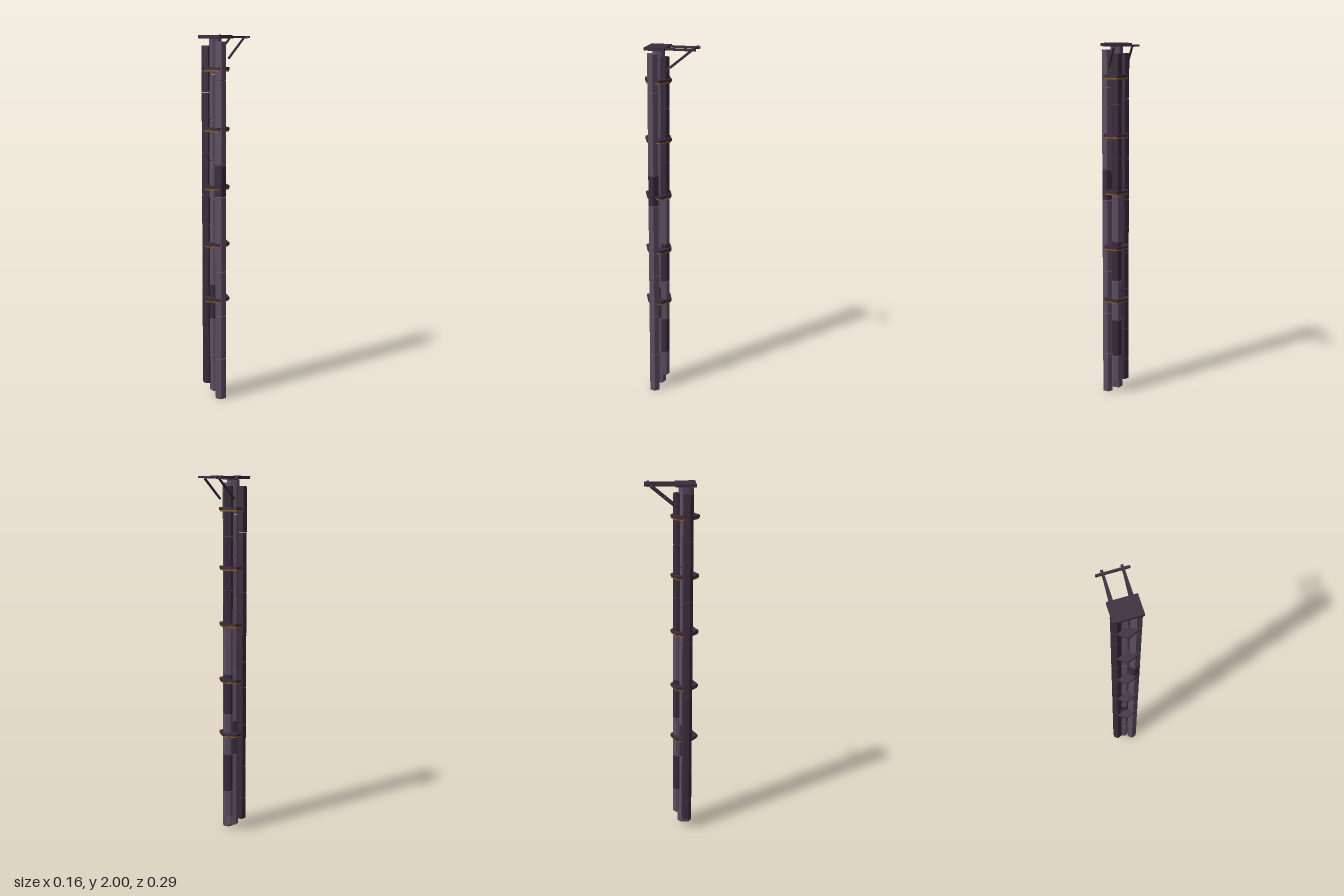
import * as THREE from 'three';

export function createModel() {
  const model = new THREE.Group();
  model.name = 'stoneColumnTower';

  const mat = (name, color) => {
    const m = new THREE.MeshStandardMaterial({ color, flatShading: true });
    m.name = name;
    return m;
  };
  const stone = mat('paleStone', 0x5e4f61);
  const darkStone = mat('darkStone', 0x3a2b3b);
  const wood = mat('darkTimber', 0x3c2b3c);
  const gold = mat('agedGold', 0x8e600f);

  const add = (parent, geometry, material, name, x, y, z) => {
    const mesh = new THREE.Mesh(geometry, material);
    mesh.name = name;
    mesh.position.set(x, y, z);
    parent.add(mesh);
    return mesh;
  };
  const rad = THREE.MathUtils.degToRad;

  // Four clustered six-sided columns, each cut into blocks at its joint heights
  const GAP = 0.004;
  const columns = [
    { name: 'leftColumn', x: 0.046, z: 0.083, r: 0.031, turn: 48, dark: [4],
      joints: [0, 0.237, 0.485, 0.735, 0.975, 1.15, 1.32, 1.52, 1.77, 1.97].filter((y) => y !== 0.975),
    },
    { name: 'rightColumn', x: -0.05, z: 0.08, r: 0.028, turn: -7, dark: 'all',
      joints: [0.07, 0.195, 0.385, 0.63, 0.845, 0.99, 1.15, 1.38, 1.705, 1.95] },
    { name: 'middleColumn', x: -0.004, z: 0.063, r: 0.033, turn: 12, dark: [2],
      joints: [0.03, 0.25, 0.455, 0.65, 0.94, 1.13, 1.34, 1.56, 1.8, 1.986] },
    { name: 'backColumn', x: 0.003, z: 0.032, r: 0.028, turn: 5, dark: [1, 3, 5, 6, 7],
      joints: [0.09, 0.237, 0.455, 0.69, 0.92, 1.18, 1.39, 1.68, 1.95] },
  ];
  for (const c of columns) {
    const column = new THREE.Group();
    column.name = c.name;
    for (let i = 0; i < c.joints.length - 1; i++) {
      const h = c.joints[i + 1] - c.joints[i] - GAP;
      const isDark = c.dark === 'all' || c.dark.includes(i);
      const block = add(column, new THREE.CylinderGeometry(c.r, c.r, h, 6),
        isDark ? darkStone : stone, 'columnBlock', c.x, c.joints[i] + h / 2, c.z);
      block.rotation.y = rad(c.turn);
    }
    model.add(column);
  }

  // Hexagonal collars with a gold ring below each
  for (const y of [0.575, 0.885, 1.2, 1.512, 1.828]) {
    const collar = new THREE.Group();
    collar.name = 'collar';
    add(collar, new THREE.CylinderGeometry(0.077, 0.077, 0.014, 6), wood, 'collarPlate', 0, 0, 0);
    add(collar, new THREE.CylinderGeometry(0.073, 0.073, 0.008, 6), gold, 'collarGoldRing', 0, -0.011, 0);
    collar.position.set(0, y, 0.066);
    collar.rotation.y = rad(-7.5);
    model.add(collar);
  }

  // Top platform
  add(model, new THREE.BoxGeometry(0.148, 0.016, 0.108), wood, 'topPlatform', -0.001, 1.992, 0.067);

  // Rear hoist frame: two arms with diagonal braces, joined by a crossbar
  const braceTop = new THREE.Vector3(0, 1.985, -0.115);
  const braceFoot = new THREE.Vector3(0, 1.88, 0.015);
  const along = braceTop.clone().sub(braceFoot);
  for (const x of [-0.048, 0.047]) {
    add(model, new THREE.BoxGeometry(0.013, 0.011, 0.175), wood, 'hoistArm', x, 1.992, -0.0575);
    const brace = add(model, new THREE.BoxGeometry(0.009, along.length(), 0.009), wood, 'hoistBrace',
      x, (braceTop.y + braceFoot.y) / 2, (braceTop.z + braceFoot.z) / 2);
    brace.rotation.x = Math.atan2(along.z, along.y);
  }
  add(model, new THREE.BoxGeometry(0.164, 0.01, 0.011), wood, 'hoistCrossbar', -0.001, 1.993, -0.126);

  return model;
}
